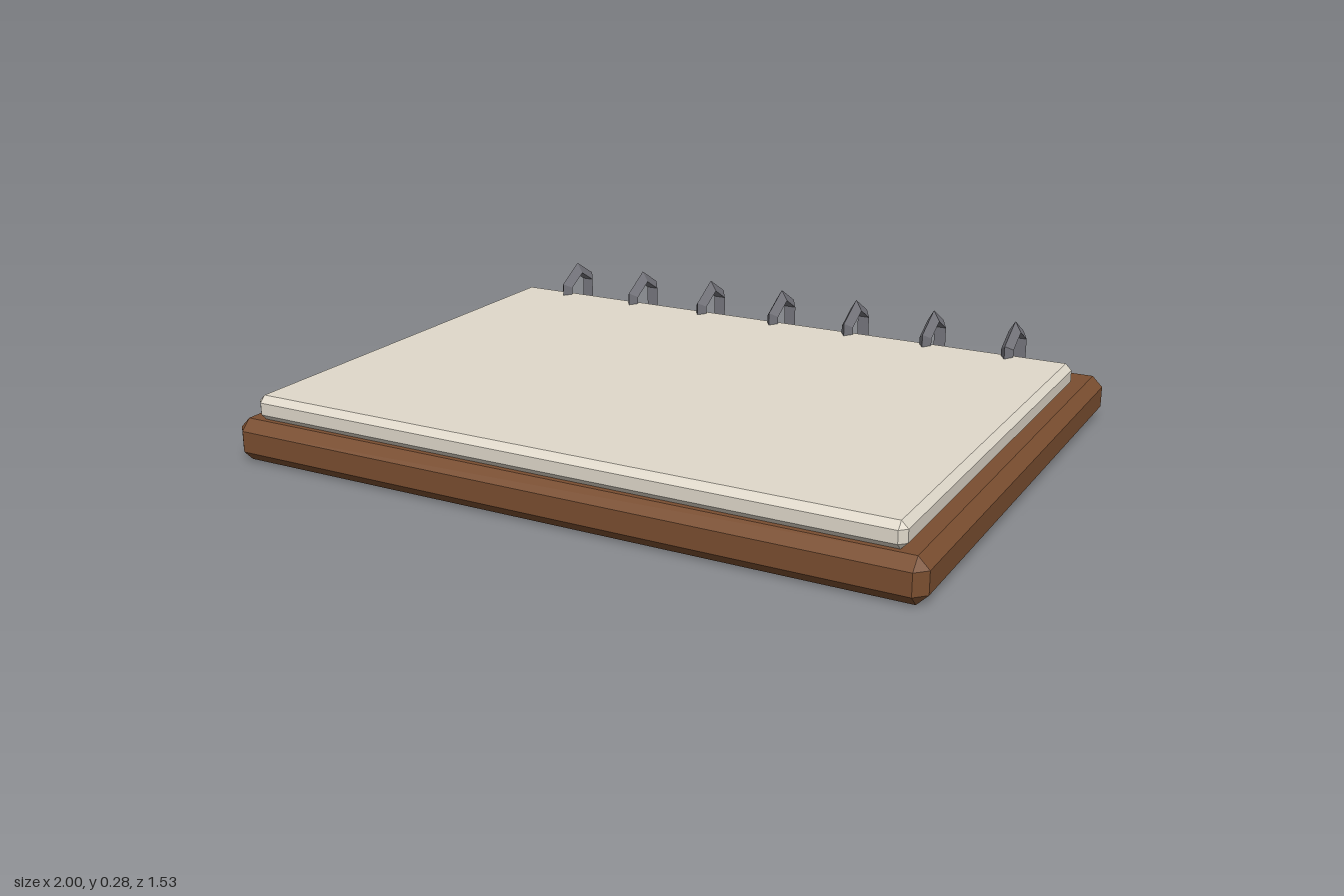
import * as THREE from 'three';
import { ConvexGeometry } from 'three/addons/geometries/ConvexGeometry.js';

// Box with every edge cut by a single flat chamfer
function chamferedBox(w, h, d, c) {
  const points = [];
  for (const x of [-1, 1]) for (const y of [-1, 1]) for (const z of [-1, 1]) {
    for (let face = 0; face < 3; face++) {
      const half = [w / 2, h / 2, d / 2].map((s, axis) => (axis === face ? s : s - c));
      points.push(new THREE.Vector3(x * half[0], y * half[1], z * half[2]));
    }
  }
  return new ConvexGeometry(points);
}

function addPart(parent, name, geometry, material, x, y, z) {
  const mesh = new THREE.Mesh(geometry, material);
  mesh.name = name;
  mesh.position.set(x, y, z);
  parent.add(mesh);
  return mesh;
}

export function createModel() {
  const model = new THREE.Group();
  model.name = 'ringNotebook';

  const paint = (color) => new THREE.MeshStandardMaterial({ color, flatShading: true });
  const leather = paint(0x7a4e30);
  const paper = paint(0xe0d9cb);
  const metal = paint(0x77777e);

  // Thick cover board
  addPart(model, 'cover', chamferedBox(2, 0.12, 1.526, 0.03), leather, 0, 0.06, 0);

  // Page block, set towards the front of the cover
  addPart(model, 'pages', chamferedBox(1.88, 0.07, 1.35, 0.018), paper, 0, 0.154, 0.06);

  // Row of six-sided binding rings along the back edge, a corner pointing up
  const ringShape = new THREE.TorusGeometry(0.085, 0.0215, 3, 6);
  ringShape.rotateZ(Math.PI / 2).rotateY(Math.PI / 2);
  const rings = new THREE.Group();
  rings.name = 'bindingRings';
  for (let i = 0; i < 7; i++) {
    addPart(rings, 'ring' + (i + 1), ringShape, metal, -0.767 + i * 0.253, 0.174, -0.647);
  }
  model.add(rings);

  return model;
}
